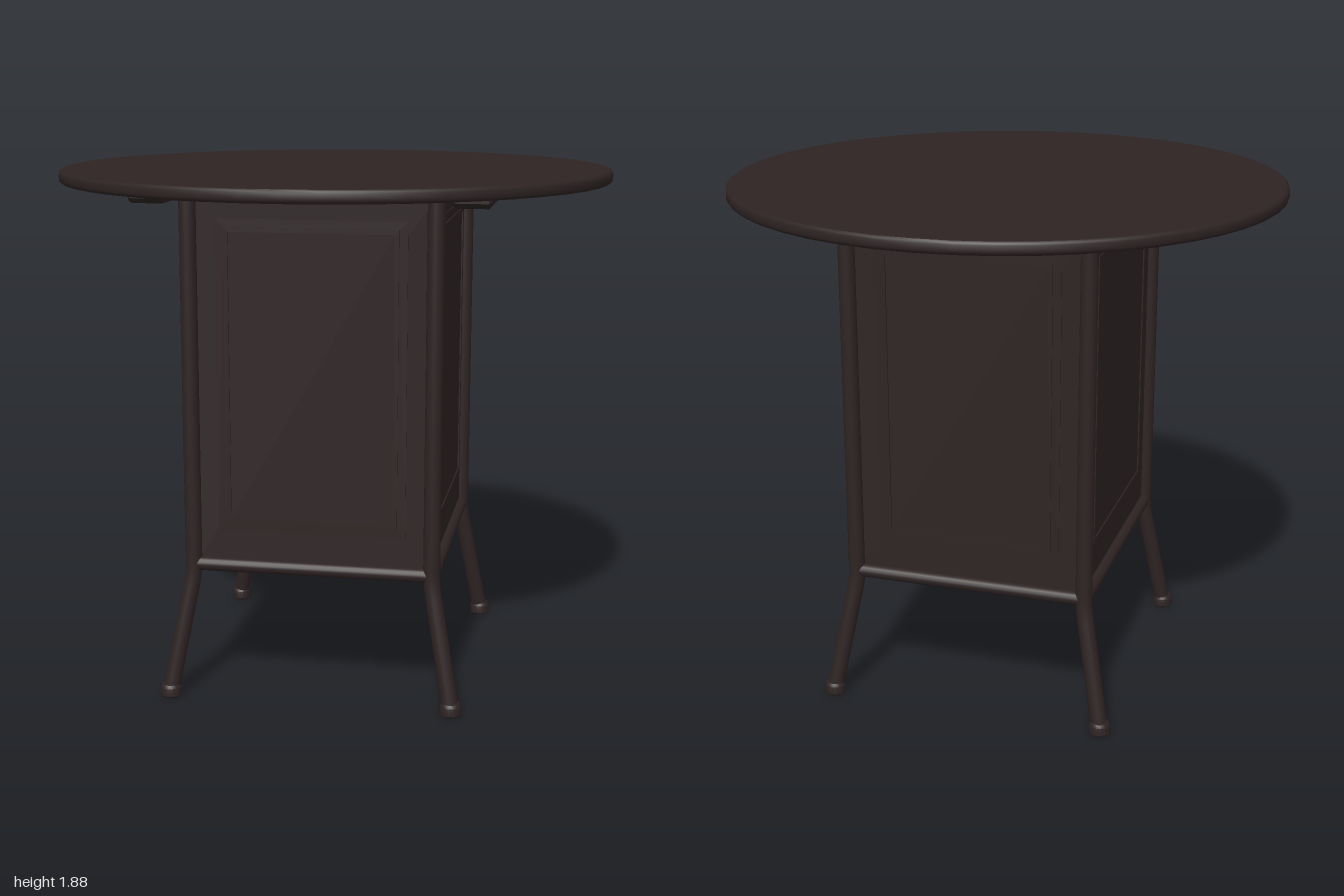
import * as THREE from 'three';
import { toCreasedNormals } from 'three/addons/utils/BufferGeometryUtils.js';

const wood = new THREE.MeshStandardMaterial({ color: 0x2e2323 });
wood.name = 'dark brown wood';

const PX = 0.43, PZ = 0.485; // post centres

function add(parent, name, geometry, x = 0, y = 0, z = 0) {
  const mesh = new THREE.Mesh(geometry, wood);
  mesh.name = name;
  mesh.position.set(x, y, z);
  parent.add(mesh);
  return mesh;
}

function lathe(points, segments) {
  const profile = points.map(([r, y]) => new THREE.Vector2(r, y));
  return toCreasedNormals(new THREE.LatheGeometry(profile, segments), 0.6);
}

// Flat rectangular ring, used for the panel mouldings
function ringGeometry(w, h, border, depth) {
  const rect = (path, a, b) => path.moveTo(-a, -b).lineTo(a, -b).lineTo(a, b).lineTo(-a, b).closePath();
  const shape = rect(new THREE.Shape(), w / 2, h / 2);
  shape.holes.push(rect(new THREE.Path(), w / 2 - border, h / 2 - border));
  return new THREE.ExtrudeGeometry(shape, { depth, bevelEnabled: false });
}

// One wall facing +z with a stepped raised panel
function wall(width, distance, panelWidth) {
  const group = new THREE.Group();
  add(group, 'wallBoard', new THREE.BoxGeometry(width, 1.34, 0.02), 0, 1.15, distance - 0.01);
  add(group, 'outerMoulding', ringGeometry(panelWidth + 0.06, 1.11, 0.03, 0.004), 0, 1.175, distance);
  add(group, 'panelMoulding', ringGeometry(panelWidth, 1.05, 0.016, 0.009), 0, 1.175, distance);
  add(group, 'panelField', new THREE.BoxGeometry(panelWidth - 0.032, 1.018, 0.004), 0, 1.175, distance + 0.002);
  const rail = add(group, 'bottomRail', new THREE.CylinderGeometry(0.025, 0.025, width, 16), 0, 0.49, distance + 0.005);
  rail.rotation.z = Math.PI / 2;
  return group;
}

export function createModel() {
  const table = new THREE.Group();
  table.name = 'table';

  // Round top with eased edges
  add(table, 'tableTop', lathe([
    [0, 1.83], [0.99, 1.83], [0.997, 1.835], [1, 1.842],
    [1, 1.863], [0.997, 1.87], [0.99, 1.875], [0, 1.875],
  ], 48));

  // Four panelled walls and the floor of the cabinet
  [['front', 0], ['left', 1], ['back', 2], ['right', 3]].forEach(([side, i]) => {
    const g = i % 2 ? wall(2 * PZ, PX - 0.005, 0.72) : wall(2 * PX, PZ - 0.005, 0.61);
    g.name = side + 'Wall';
    g.rotation.y = i * Math.PI / 2;
    table.add(g);
  });
  add(table, 'floor', new THREE.BoxGeometry(2 * PX, 0.03, 2 * PZ), 0, 0.485, 0);

  // Corner posts bending outward into splayed legs
  const footShape = lathe([[0, 0], [0.034, 0], [0.038, 0.005], [0.038, 0.035], [0.031, 0.046], [0, 0.046]], 16);
  for (const sx of [-1, 1]) for (const sz of [-1, 1]) {
    const at = (x, y, z) => new THREE.Vector3(sx * x, y, sz * z);
    const path = new THREE.CurvePath();
    path.add(new THREE.LineCurve3(at(PX, 1.828, PZ), at(PX, 0.5, PZ)));
    path.add(new THREE.QuadraticBezierCurve3(at(PX, 0.5, PZ), at(PX, 0.46, PZ), at(0.437, 0.42, 0.49)));
    path.add(new THREE.LineCurve3(at(0.437, 0.42, 0.49), at(0.51, 0.02, 0.543)));
    add(table, 'leg', new THREE.TubeGeometry(path, 60, 0.03, 16));
    add(table, 'foot', footShape, sx * 0.51, 0, sz * 0.543);
  }

  // Chamfered cleats and thin bearing strips beneath the top
  const cleat = new THREE.Shape();
  cleat.moveTo(-0.565, 1.831).lineTo(-0.565, 1.8).lineTo(-0.545, 1.782)
    .lineTo(0.545, 1.782).lineTo(0.565, 1.8).lineTo(0.565, 1.831).closePath();
  const cleatGeometry = new THREE.ExtrudeGeometry(cleat, {
    depth: 0.11, bevelEnabled: true, bevelThickness: 0.01, bevelSize: 0.01, bevelOffset: -0.01, bevelSegments: 1,
  });
  cleatGeometry.translate(0, 0, -0.055).rotateY(Math.PI / 2);
  for (const sx of [-1, 1]) {
    add(table, 'cleat', cleatGeometry, sx * 0.555, 0, 0);
    add(table, 'bearingStrip', new THREE.BoxGeometry(0.075, 0.012, 1.18), sx * 0.433, 1.825, 0);
  }
  return table;
}
